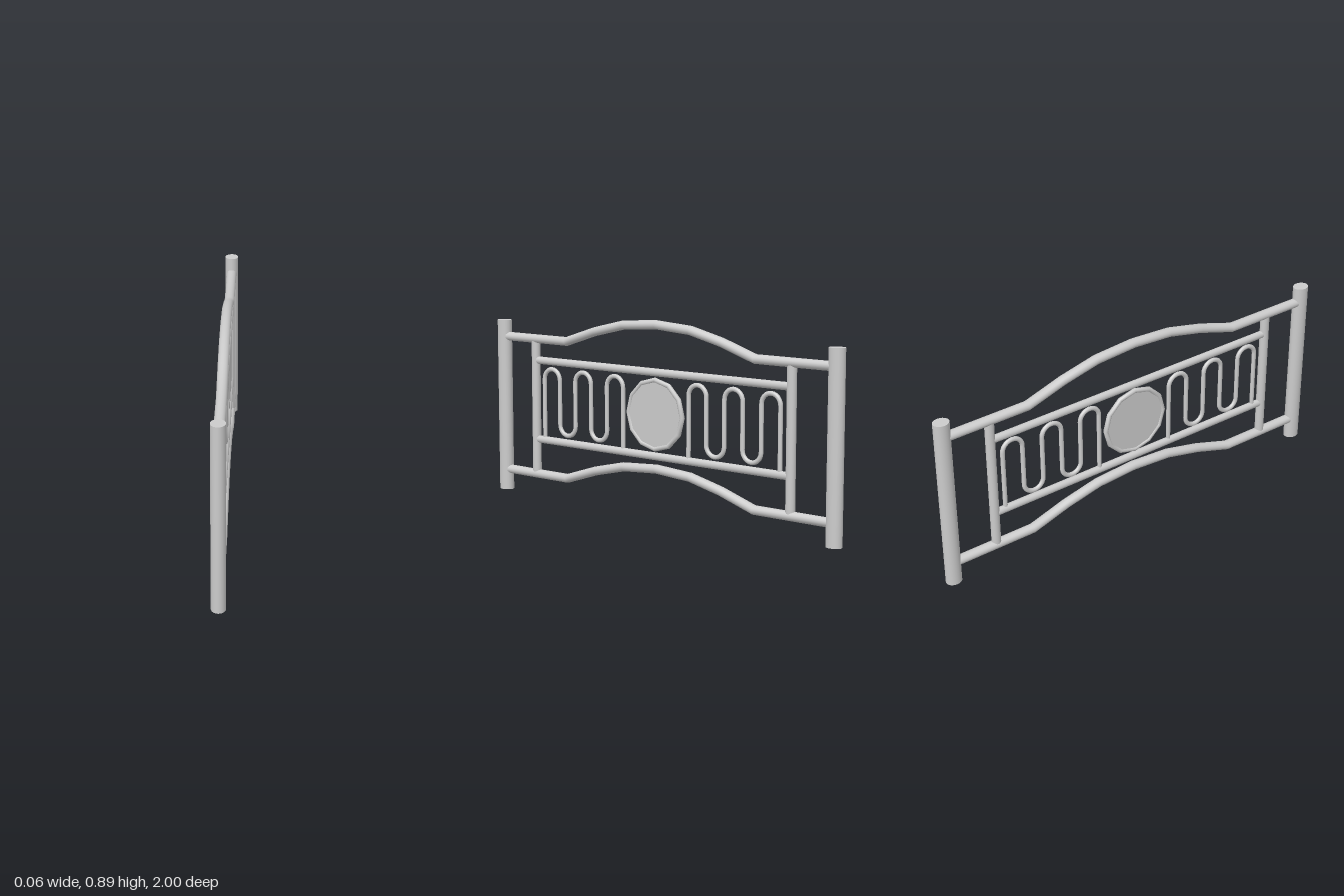
import * as THREE from 'three';

const material = new THREE.MeshStandardMaterial({ color: 0xcccccc });
const SIDES = 16;
const MID = 0.0065; // centre of the inner panel along z

function add(parent, name, geometry) {
  const mesh = new THREE.Mesh(geometry, material);
  mesh.name = name;
  parent.add(mesh);
  return mesh;
}

// Sweeps an elliptical section along [z, y] points, mitred at each bend.
function sweep(points, rx, r) {
  const path = points.map(([z, y]) => new THREE.Vector2(z, y));
  const pos = [], index = [];
  path.forEach((p, i) => {
    const before = path[Math.max(i - 1, 0)], after = path[Math.min(i + 1, path.length - 1)];
    const d1 = p.clone().sub(before).normalize(), d2 = after.clone().sub(p).normalize();
    const t = d1.clone().add(d2).normalize();
    const miter = r / (i === 0 ? 1 : t.dot(d1) || 1);
    for (let j = 0; j < SIDES; j++) {
      const a = (j / SIDES) * Math.PI * 2;
      const s = Math.sin(a) * miter;
      pos.push(Math.cos(a) * rx, p.y + s * t.x, p.x - s * t.y);
      if (i === 0) continue;
      const k = (j + 1) % SIDES, lo = (i - 1) * SIDES, hi = i * SIDES;
      index.push(lo + j, lo + k, hi + j, lo + k, hi + k, hi + j);
    }
  });
  const g = new THREE.BufferGeometry();
  g.setAttribute('position', new THREE.Float32BufferAttribute(pos, 3));
  g.setIndex(index);
  g.computeVertexNormals();
  return g;
}

// Upright elliptical bar from y0 to y1.
function bar(parent, name, z, y0, y1, rx, rz) {
  const g = new THREE.CylinderGeometry(1, 1, y1 - y0, 20);
  g.scale(rx, 1, rz);
  add(parent, name, g).position.set(0, (y0 + y1) / 2, z);
}

// Serpentine rod: six uprights joined by alternating half circles.
function scrollPoints(side) {
  const step = 0.0995, top = 0.565, low = 0.355, points = [];
  const first = 0.1925;
  points.push([MID + side * first, 0.27]);
  for (let n = 0; n < 5; n++) {
    const up = n % 2 === 0, centre = first + (n + 0.5) * step;
    for (let k = 0; k <= 12; k++) {
      const a = (k / 12) * Math.PI;
      const z = centre - Math.cos(a) * step / 2;
      const y = (up ? top : low) + (up ? 1 : -1) * Math.sin(a) * 0.05;
      points.push([MID + side * z, y]);
    }
  }
  points.push([MID + side * (first + 5 * step), 0.27]);
  return points;
}

export function createModel() {
  const group = new THREE.Group();
  group.name = 'fencePanel';

  // End posts and inner uprights
  for (const s of [1, -1]) {
    bar(group, 'post', s * 0.9625, 0, 0.833, 0.0315, 0.0375);
    bar(group, 'innerUpright', MID + s * 0.746, 0.1, 0.75, 0.02, 0.022);
    add(group, 'scroll', sweep(scrollPoints(s), 0.0095, 0.0105));
  }

  // Arched top and bottom rails
  const arch = [[0.96, 0], [0.55, 0], [0.37, 0.058], [0.195, 0.099], [0, 0.112]];
  const full = [...arch, ...arch.slice(0, -1).reverse().map(([z, y]) => [-z, y])];
  for (const [name, y] of [['topRail', 0.754], ['bottomRail', 0.1]]) {
    add(group, name, sweep(full.map(([z, dy]) => [z, y + dy]), 0.0234, 0.021));
  }

  // Straight rails of the inner panel
  for (const [name, y] of [['upperPanelRail', 0.652], ['lowerPanelRail', 0.27]]) {
    add(group, name, sweep([[MID + 0.74, y], [MID - 0.74, y]], 0.0165, 0.018));
  }

  // Twelve-sided medallion: a rim around a flat disc
  const medallion = new THREE.Group();
  medallion.name = 'medallion';
  medallion.position.set(0, 0.46, 0.0075);
  medallion.rotation.y = Math.PI / 2;
  group.add(medallion);
  add(medallion, 'medallionRim', new THREE.TorusGeometry(0.157, 0.0115, 10, 12));
  add(medallion, 'medallionDisc', new THREE.CylinderGeometry(0.155, 0.155, 0.014, 12)
    .rotateY(Math.PI / 2).rotateX(Math.PI / 2));

  return group;
}
